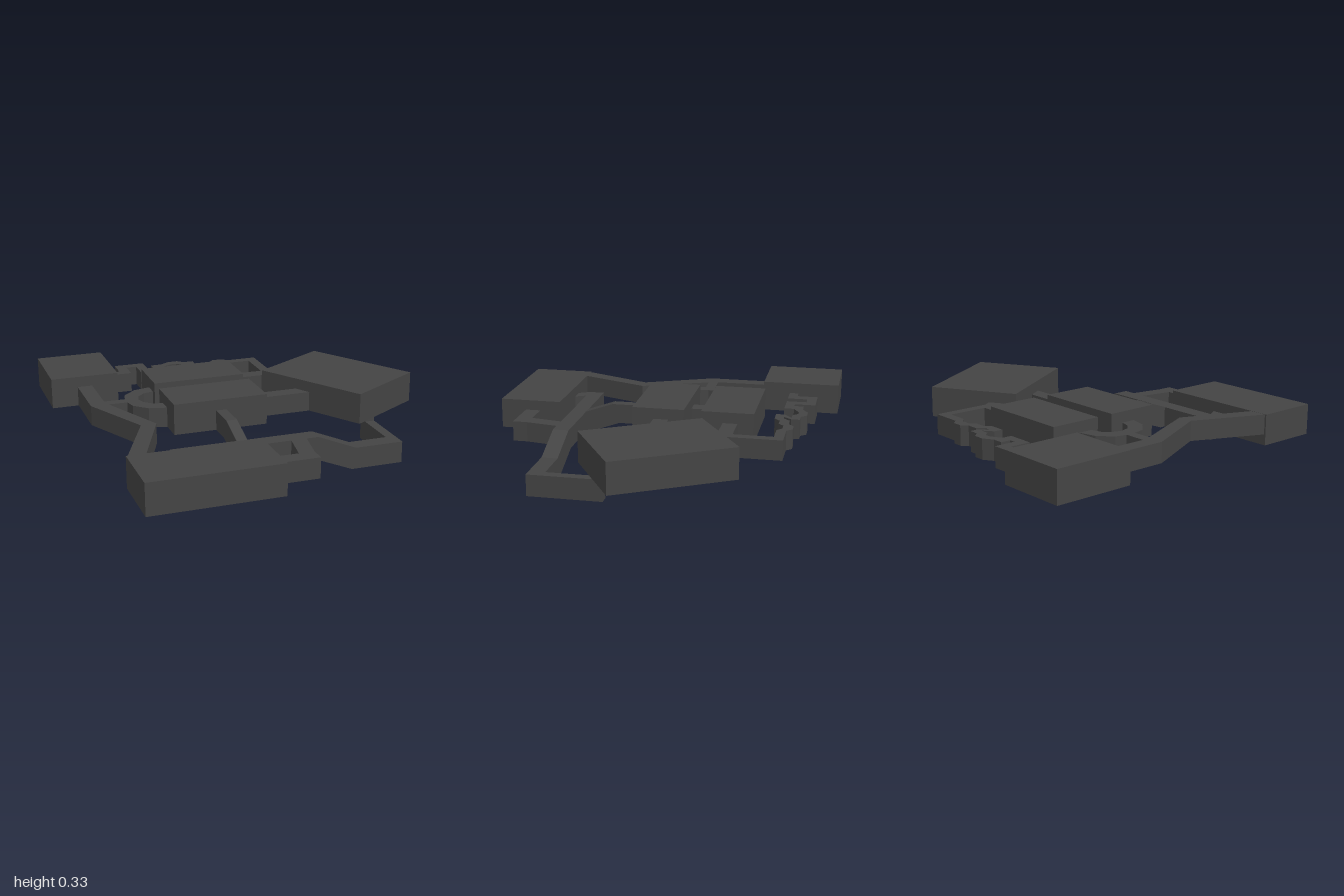
import * as THREE from 'three';

const LOW = [0, 0.12], MID = [0.095, 0.21], HIGH = [0.155, 0.267];

export function createModel() {
  const model = new THREE.Group();
  model.name = 'roomComplex';
  const stone = new THREE.MeshStandardMaterial({ color: 0x444444 });
  stone.name = 'dark grey';

  const add = (name, geometry) => {
    const mesh = new THREE.Mesh(geometry, stone);
    mesh.name = name;
    model.add(mesh);
    return mesh;
  };
  const extrude = (points, depth) => new THREE.ExtrudeGeometry(
    new THREE.Shape(points.map(p => new THREE.Vector2(p[0], p[1]))),
    { depth, bevelEnabled: false });

  // Floor plan of [x, z] corners raised between two heights
  const plan = (name, [y0, y1], corners) => add(name,
    extrude(corners.map(([x, z]) => [x, -z]), y1 - y0).rotateX(-Math.PI / 2).translate(0, y0, 0));
  // Axis-aligned block from its limits
  const block = (name, [y0, y1], x0, x1, z0, z1) => add(name,
    new THREE.BoxGeometry(x1 - x0, y1 - y0, z1 - z0)
      .translate((x0 + x1) / 2, (y0 + y1) / 2, (z0 + z1) / 2));

  // Rooms
  const roomY = [0.155, 0.328];
  block('backRightRoom', roomY, -1, -0.613, -0.97, -0.527);
  block('middleBackRoom', roomY, -0.463, 0.07, -0.553, -0.26);
  block('middleFrontRoom', roomY, -0.463, 0.07, -0.164, 0.128);
  block('frontRoom', [0.095, 0.268], -0.85, -0.138, 0.61, 0.965);
  plan('turnedRoom', roomY, [[0.197, -0.288], [0.641, -0.553], [0.997, 0.042], [0.553, 0.307]]);

  // Straight corridors between the rooms
  block('linkCorridor', HIGH, -0.253, -0.167, -0.26, -0.164);
  block('eastCorridor', HIGH, 0.07, 0.40, -0.077, 0.008);
  block('westConnector', HIGH, -0.79, -0.6, -0.225, -0.168);
  block('backRoomCorridor', HIGH, 0.07, 0.258, -0.463, -0.38);
  plan('turnedRoomPassage', HIGH, [[0.23, -0.38], [0.258, -0.46], [0.29, -0.445], [0.36, -0.34], [0.29, -0.28]]);

  // Kinked corridor along the right side
  plan('westCorridor', HIGH, [
    [-0.85, -0.527], [-0.85, -0.175], [-0.67, 0.215], [-0.84, 0.61],
    [-0.745, 0.61], [-0.585, 0.215], [-0.765, -0.2], [-0.765, -0.527]]);

  // Horseshoe corridor joining the two middle rooms
  const outer = [[-0.46, -0.385], [-0.56, -0.36], [-0.632, -0.29], [-0.652, -0.196]];
  const inner = [[-0.46, -0.305], [-0.52, -0.288], [-0.56, -0.25], [-0.575, -0.196]];
  const mirrored = side => [...side, ...side.slice(0, -1).reverse().map(([x, z]) => [x, -0.392 - z])];
  plan('horseshoeCorridor', HIGH, [...mirrored(outer), ...mirrored(inner).reverse()]);

  // Winding corridor along the back
  plan('windingCorridor', HIGH, [
    [-0.613, -0.735], [-0.553, -0.735], [-0.553, -0.853], [-0.377, -0.853], [-0.377, -0.735],
    [-0.342, -0.735], [-0.342, -0.79], [-0.28, -0.79], [-0.225, -0.823], [-0.166, -0.823],
    [-0.134, -0.79], [-0.077, -0.79], [-0.077, -0.742], [-0.115, -0.7], [-0.085, -0.7],
    [-0.05, -0.737], [0.015, -0.737], [0.047, -0.768], [0.105, -0.768], [0.135, -0.737],
    [0.31, -0.737], [0.31, -0.38], [0.255, -0.38], [0.255, -0.683], [0.135, -0.683],
    [0.102, -0.712], [0.047, -0.712], [0.02, -0.683], [-0.038, -0.683], [-0.077, -0.65],
    [-0.162, -0.65], [-0.162, -0.7], [-0.108, -0.742], [-0.16, -0.742], [-0.187, -0.772],
    [-0.22, -0.772], [-0.283, -0.738], [-0.283, -0.683], [-0.433, -0.683], [-0.433, -0.797],
    [-0.493, -0.797], [-0.493, -0.683], [-0.613, -0.683]]);

  // Ramp from the middle room to the long front corridor
  add('southRamp', extrude([
    [-0.128, 0.267], [-0.30, 0.267], [-0.463, 0.21], [-0.463, 0.095], [-0.43, 0.095], [-0.26, 0.155], [-0.128, 0.155],
  ], 0.06).rotateY(Math.PI / 2).translate(-0.225, 0, 0));

  // Long front corridor dropping to the lowest level
  add('frontCorridor', extrude([
    [-0.583, 0.095], [0.163, 0.095], [0.40, 0], [0.695, 0],
    [0.695, 0.12], [0.42, 0.12], [0.20, 0.21], [-0.583, 0.21],
  ], 0.09).translate(0, 0, 0.46));
  block('lowCorridor', LOW, 0.64, 0.695, 0.14, 0.46);
  block('shaft', [0.12, 0.156], 0.64, 0.695, 0.14, 0.2);

  // Side passages into the front room
  plan('frontLeftPassage', MID, [[-0.583, 0.55], [-0.5, 0.55], [-0.465, 0.61], [-0.547, 0.61]]);
  plan('frontRightPassage', MID, [
    [0.047, 0.55], [0.133, 0.55], [0.1, 0.735], [0.1, 0.817], [-0.138, 0.817], [-0.138, 0.73], [0.015, 0.73]]);

  return model;
}
